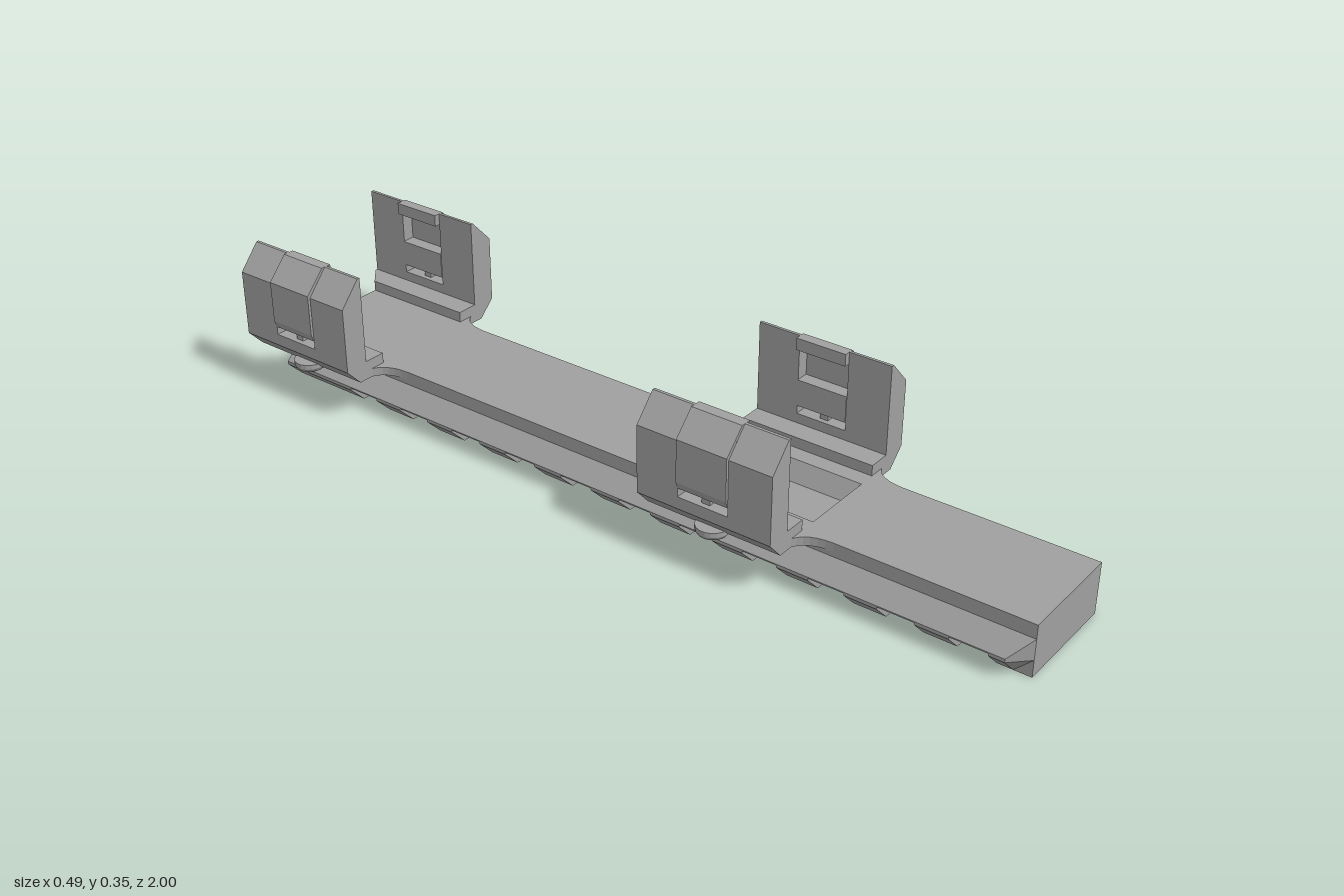
import * as THREE from 'three';

const grey = new THREE.MeshStandardMaterial({ color: 0xa0a0a0 });
grey.name = 'grey metal';

// Extrudes an x/y outline from z0 to z1; move() may shift vertices afterwards
function prism(name, pts, z0, z1, move) {
  const shape = new THREE.Shape(pts.map(([x, y]) => new THREE.Vector2(x, y)));
  const geo = new THREE.ExtrudeGeometry(shape, { depth: z1 - z0, bevelEnabled: false });
  geo.translate(0, 0, z0);
  if (move) {
    const p = geo.attributes.position;
    for (let i = 0; i < p.count; i++) p.setX(i, move(p.getX(i), p.getZ(i)));
    geo.computeVertexNormals();
  }
  const mesh = new THREE.Mesh(geo, grey);
  mesh.name = name;
  return mesh;
}

const mirrored = (half) => [...half, ...half.map(([x, y]) => [-x, y]).reverse()];

const FRONT = 1, BACK = -0.957, CHAMFER = 0.96;
const SLOT_Y = 0.045, TOP = 0.12;

function createRail() {
  const rail = new THREE.Group();
  rail.name = 'rail';
  const sides = [[0.17, SLOT_Y], [0.17, 0.048], [0.13, 0.088], [0.13, TOP]];
  const upper = mirrored(sides);
  const pocketed = mirrored([...sides, [0.09, TOP], [0.065, 0.08]]);
  const tooth = mirrored([[0.13, 0], [0.17, 0.04], [0.17, SLOT_Y]]);
  const nose = (x, z) => (z > 0.99 ? Math.max(-0.13, Math.min(0.13, x)) : x);

  // upper body, with a shallow pocket between the front clamps
  rail.add(prism('railBody', upper, BACK, 0.15));
  rail.add(prism('railPocket', pocketed, 0.15, 0.48));
  rail.add(prism('railBody', upper, 0.48, CHAMFER));
  rail.add(prism('railNose', upper, CHAMFER, FRONT, nose));

  // cross teeth underneath; the last one is longer
  for (let i = 0; i < 12; i++) {
    const front = FRONT - i * 0.1588;
    const back = i === 11 ? BACK : front - 0.075;
    if (i === 0) rail.add(prism('toothNose', tooth, CHAMFER, FRONT, nose));
    rail.add(prism('tooth', tooth, back, i === 0 ? CHAMFER : front));
  }
  return rail;
}

// Curved web joining the rail edge to a clamp end
function createFillet(s, z, dir) {
  const shape = new THREE.Shape();
  shape.moveTo(s * 0.125, -z);
  shape.lineTo(s * 0.168, -z);
  shape.quadraticCurveTo(s * 0.132, -(z + dir * 0.015), s * 0.13, -(z + dir * 0.075));
  shape.lineTo(s * 0.125, -(z + dir * 0.075));
  const geo = new THREE.ExtrudeGeometry(shape, { depth: 0.02, bevelEnabled: false, curveSegments: 6 });
  geo.rotateX(-Math.PI / 2).translate(0, 0.1, 0);
  const mesh = new THREE.Mesh(geo, grey);
  mesh.name = 'fillet';
  return mesh;
}

// Domed screw with a hex socket facing down
function createScrew(x, z) {
  const pts = [[0, 0.097], [0.014, 0.097], [0.014, 0.086], [0.022, 0.085],
    [0.032, 0.091], [0.037, 0.099], [0.037, 0.11], [0, 0.11]];
  const geo = new THREE.LatheGeometry(pts.map(([r, y]) => new THREE.Vector2(r, y)), 18).toNonIndexed();
  geo.computeVertexNormals();
  const mesh = new THREE.Mesh(geo, grey);
  mesh.name = 'screw';
  mesh.position.set(x, 0, z);
  return mesh;
}

// One clamp; s is +1 for the left side and -1 for the right
function createClamp(s, zc, isRear) {
  const clamp = new THREE.Group();
  clamp.name = (isRear ? 'rear' : 'front') + (s > 0 ? 'Left' : 'Right') + 'Clamp';
  const h = 0.1635, w = 0.061;
  const out = s > 0 ? 0.245 : 0.242;
  const side = (pts, shift = 0) => pts.map(([x, y]) => [s * x + shift, y]);

  const foot = [[0.13, 0.1], [0.205, 0.1], [out, 0.14]];
  const arm = side([...foot, [out, 0.297], [0.19, 0.355], [0.183, 0.355], [0.183, 0.145], [0.13, 0.145]]);
  const lowArm = side([...foot, [out, 0.168], [0.183, 0.168], [0.183, 0.145], [0.13, 0.145]]);

  // arm on both sides of the window, and the sill below it
  clamp.add(prism('arm', arm, zc + w, zc + h));
  clamp.add(prism('sill', lowArm, zc - w, zc + w));
  if (isRear) {
    const cut = (x, z) => (z < -0.99 ? s * Math.max(0.177, Math.abs(x)) : x);
    clamp.add(prism('arm', arm, BACK, zc - w));
    clamp.add(prism('armEnd', arm, zc - h, BACK, cut));
  } else {
    clamp.add(prism('arm', arm, zc - h, zc - w));
    clamp.add(createFillet(s, zc - h, -1));
  }
  clamp.add(createFillet(s, zc + h, 1));

  // spring catch filling the window, with a hook at the top
  const latch = side([[0.171, 0.327], [0.171, 0.355], [0.197, 0.355], [0.2465, 0.303],
    [0.2465, 0.205], [0.24, 0.188], [0.183, 0.188], [0.183, 0.25], [0.215, 0.25], [0.215, 0.327]], -0.002);
  clamp.add(prism('catch', latch, zc - w, zc + w));
  const stem = side([[0.195, 0.165], [0.23, 0.165], [0.23, 0.19], [0.195, 0.19]]);
  clamp.add(prism('catchStem', stem, zc - 0.01, zc + 0.01));

  clamp.add(createScrew(s * 0.205, zc));
  return clamp;
}

export function createModel() {
  const model = new THREE.Group();
  model.name = 'railMount';
  model.add(createRail());
  for (const s of [1, -1]) {
    model.add(createClamp(s, 0.3165, false));
    model.add(createClamp(s, -0.8365, true));
  }
  return model;
}
